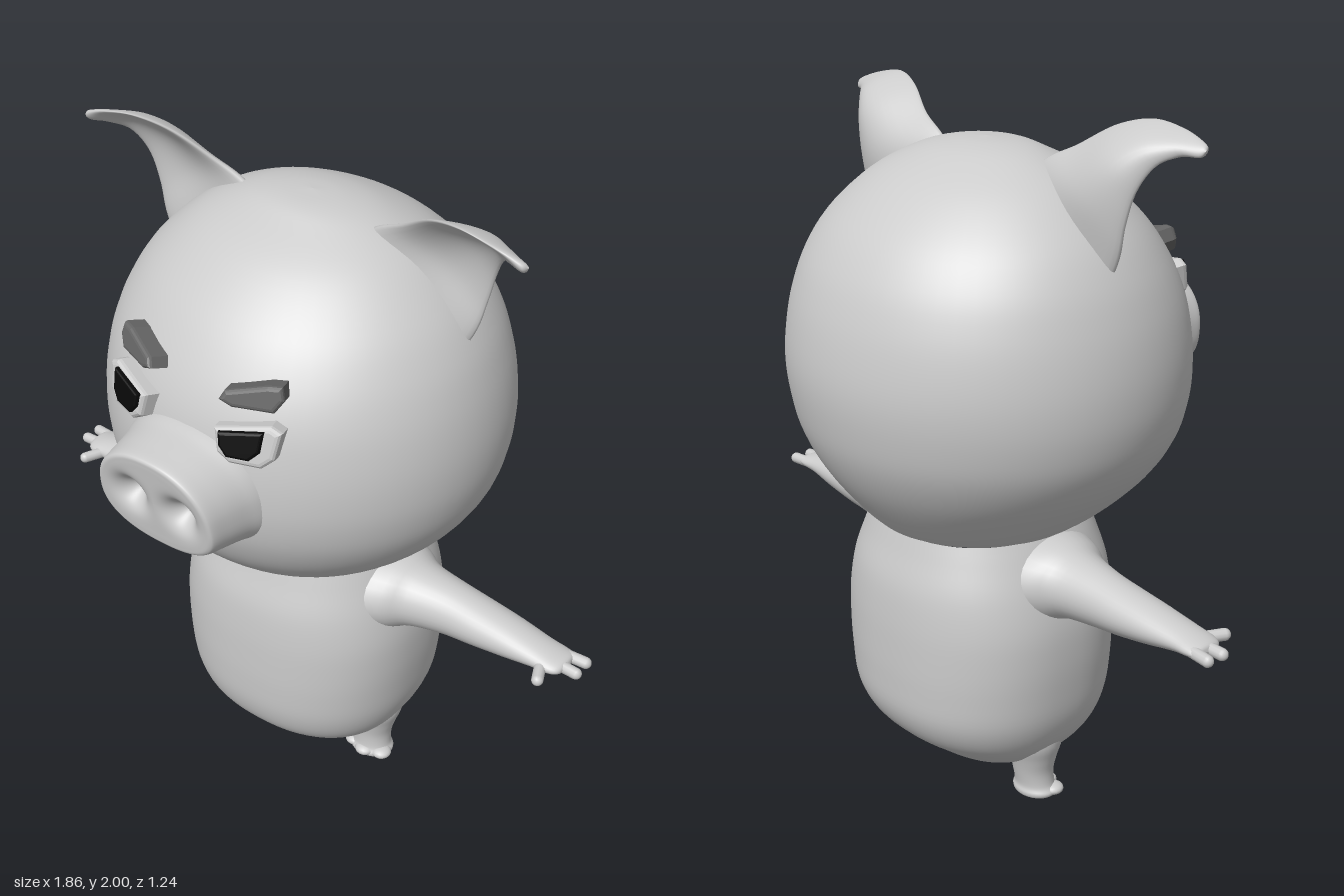
import * as THREE from 'three';

const paint = (color) => new THREE.MeshStandardMaterial({ color });
const skin = paint(0xcccccc), browMat = paint(0x666666), white = paint(0xf0f0f0), black = paint(0x080808);

// Smooth closed-ring surface; point(values, angle) places each vertex of a ring
function loft(table, rows, cols, point) {
  const n = table.length, size = table[0].length;
  const spline = new THREE.CubicInterpolant(table.map((_, i) => i), table.flat(), size, new Float32Array(size));
  const pos = [], idx = [];
  for (let i = 0; i <= rows; i++) {
    const v = spline.evaluate(Math.min(i / rows * (n - 1), n - 1));
    for (let j = 0; j < cols; j++) {
      pos.push(...point(v, j / cols * Math.PI * 2));
      if (i === rows) continue;
      const a = i * cols + j, b = i * cols + (j + 1) % cols;
      idx.push(a, a + cols, b, b, a + cols, b + cols);
    }
  }
  const g = new THREE.BufferGeometry();
  g.setAttribute('position', new THREE.Float32BufferAttribute(pos, 3));
  g.setIndex(idx);
  g.computeVertexNormals();
  return g;
}

// Rounded superellipse coordinate
const sup = (t, e) => Math.sign(t) * Math.pow(Math.abs(t), 2 / e);

// Upright section: y, half width, front z, back z
const upright = (e) => ([y, w, f, b], a) =>
  [w * sup(Math.cos(a), e), y, (f + b) / 2 + (f - b) / 2 * sup(Math.sin(a), e)];

function mirrored(geo) {
  const g = geo.clone();
  if (!g.index) g.setIndex([...Array(g.attributes.position.count).keys()]);
  g.scale(-1, 1, 1);
  const ix = g.index.array;
  for (let i = 0; i < ix.length; i += 3) [ix[i], ix[i + 1]] = [ix[i + 1], ix[i]];
  return g;
}

// Rounded finger or toe between two points
function digit(from, to, r) {
  const a = new THREE.Vector3(...from), d = new THREE.Vector3(...to).sub(a);
  const g = new THREE.CapsuleGeometry(r, d.length(), 6, 12);
  g.applyQuaternion(new THREE.Quaternion().setFromUnitVectors(new THREE.Vector3(0, 1, 0), d.clone().normalize()));
  return g.translate(a.x + d.x / 2, a.y + d.y / 2, a.z + d.z / 2);
}

// Bevelled plate facing forward, turned to follow the face
function plate(points, depth, bevel, at, turn, tilt) {
  const shape = new THREE.Shape(points.map(([x, y]) => new THREE.Vector2(x, y)));
  const g = new THREE.ExtrudeGeometry(shape, {
    depth, bevelThickness: bevel, bevelSize: bevel, bevelOffset: -bevel, bevelSegments: 3,
  });
  return g.rotateX(tilt).rotateY(turn).translate(...at);
}

export function createModel() {
  const model = new THREE.Group();
  const add = (name, geo, mat = skin) => {
    const m = new THREE.Mesh(geo, mat);
    m.name = name;
    model.add(m);
  };
  const pair = (name, geo, mat) => {
    add('left' + name, geo, mat);
    add('right' + name, mirrored(geo), mat);
  };

  // Head and body
  add('head', loft([
    [0.84, 0.28, 0.19, -0.38], [0.84, 0.30, 0.2, -0.4], [0.9, 0.38, 0.30, -0.46], [1, 0.48, 0.4, -0.535],
    [1.1, 0.545, 0.455, -0.585], [1.2, 0.575, 0.48, -0.61], [1.3, 0.583, 0.485, -0.62],
    [1.4, 0.575, 0.475, -0.612], [1.5, 0.553, 0.45, -0.59], [1.6, 0.515, 0.4, -0.55],
    [1.7, 0.45, 0.325, -0.48], [1.8, 0.34, 0.21, -0.365], [1.865, 0.215, 0.085, -0.24],
    [1.892, 0.11, 0.02, -0.15], [1.9, 0.001, -0.069, -0.071],
  ], 64, 64, upright(2)));
  add('body', loft([
    [0.085, 0.001, -0.099, -0.101], [0.09, 0.14, 0.0, -0.19], [0.11, 0.23, 0.07, -0.26], [0.16, 0.295, 0.15, -0.33],
    [0.22, 0.34, 0.21, -0.4], [0.3, 0.37, 0.24, -0.44], [0.4, 0.383, 0.25, -0.45],
    [0.5, 0.388, 0.252, -0.452], [0.6, 0.383, 0.25, -0.45], [0.7, 0.36, 0.24, -0.44],
    [0.79, 0.325, 0.215, -0.415], [0.845, 0.30, 0.2, -0.4],
  ], 48, 64, upright(2.3)));

  // Ears: upper edge xyz, outer edge xyz, half thickness, cup depth
  pair('Ear', loft([
    [0.12, 1.78, -0.06, 0.43, 1.5, -0.07, 0.04, 0.0],
    [0.21, 1.865, -0.05, 0.512, 1.65, -0.075, 0.035, 0.025],
    [0.31, 1.915, -0.03, 0.54, 1.75, -0.08, 0.028, 0.04],
    [0.41, 1.975, 0.01, 0.565, 1.84, -0.07, 0.025, 0.045],
    [0.51, 2.0, 0.04, 0.6, 1.905, -0.04, 0.022, 0.035],
    [0.61, 1.988, 0.045, 0.645, 1.93, 0.0, 0.02, 0.015],
    [0.685, 1.965, 0.035, 0.69, 1.932, 0.02, 0.015, 0.0],
    [0.703, 1.95, 0.025, 0.703, 1.948, 0.024, 0.001, 0.0],
  ], 36, 32, ([px, py, pz, qx, qy, qz, th, cup], a) => {
    const u = (1 - Math.cos(a)) / 2;
    return [px + (qx - px) * u, py + (qy - py) * u,
      pz + (qz - pz) * u - th * Math.sin(a) - cup * Math.sin(Math.PI * u)];
  }));

  // Snout: z and scale per ring, with two nostril pits in the tilted face
  add('snout', loft([
    [0.36, 1.3], [0.43, 1.22], [0.48, 1.13], [0.54, 1.06], [0.585, 1.01], [0.598, 0.96],
    [0.6, 0.86], [0.6, 0.7], [0.6, 0.54], [0.6, 0.36], [0.6, 0.18], [0.6, 0.001],
  ], 66, 80, ([z, s], a) => {
    const c = Math.cos(a), y = s * 0.145 * sup(c, 2.3);
    const x = s * 0.19 * sup(Math.sin(a), 2.3) * (1 - 0.13 * c);
    const d2 = (Math.abs(x) - 0.083) ** 2 + (y + 0.005) ** 2;
    const pit = z > 0.59 ? 0.06 * Math.exp(-d2 / 0.0018) : 0;
    return [x, 1.277 + y, z + y * 0.15 - pit];
  }));

  // Eyes and brows
  pair('EyeWhite', plate([
    [-0.09, 0.03], [-0.08, -0.035], [-0.045, -0.06], [0.04, -0.06], [0.075, -0.03], [0.09, 0.045], [0.06, 0.06],
  ], 0.05, 0.015, [0.182, 1.46, 0.405], 0.33, -0.2), white);
  pair('Pupil', plate([
    [-0.06, 0.028], [-0.057, -0.008], [-0.035, -0.036], [0.025, -0.036], [0.052, -0.01], [0.06, 0.048],
  ], 0.04, 0.008, [0.178, 1.464, 0.438], 0.33, -0.2), black);
  pair('Brow', plate([
    [-0.085, -0.02], [-0.05, -0.036], [0.06, -0.036], [0.085, 0.0], [0.078, 0.036], [0.04, 0.034], [-0.07, 0.006],
  ], 0.06, 0.012, [0.165, 1.575, 0.365], 0.38, -0.25), browMat);

  // Arms: x, centre y, half height, centre z, half depth
  pair('Arm', loft([
    [0.24, 0.71, 0.14, -0.08, 0.19], [0.34, 0.718, 0.118, -0.08, 0.145], [0.4, 0.722, 0.095, -0.08, 0.105],
    [0.5, 0.722, 0.08, -0.085, 0.083], [0.6, 0.72, 0.067, -0.085, 0.077], [0.7, 0.72, 0.052, -0.083, 0.07],
    [0.8, 0.72, 0.033, -0.08, 0.06], [0.85, 0.718, 0.024, -0.08, 0.058],
    [0.878, 0.717, 0.016, -0.085, 0.045], [0.885, 0.717, 0.001, -0.085, 0.001],
  ], 36, 32, ([x, y, h, z, d], a) => [x, y + h * Math.sin(a), z + d * Math.cos(a)]));
  for (const [name, from, to] of [
    ['OuterFinger', [0.84, 0.717, -0.115], [0.915, 0.715, -0.122]],
    ['InnerFinger', [0.84, 0.717, -0.07], [0.915, 0.715, -0.068]],
    ['Thumb', [0.82, 0.715, -0.04], [0.845, 0.715, 0.018]],
  ]) pair(name, digit(from, to, 0.017));

  // Legs: y, centre x, half width, centre z, half depth
  pair('Leg', loft([
    [0, 0.235, 0.001, -0.09, 0.001], [0, 0.235, 0.06, -0.09, 0.05], [0.014, 0.236, 0.073, -0.09, 0.06],
    [0.035, 0.234, 0.064, -0.092, 0.054], [0.08, 0.232, 0.064, -0.096, 0.058],
    [0.13, 0.235, 0.073, -0.098, 0.068], [0.19, 0.235, 0.09, -0.1, 0.085], [0.28, 0.22, 0.1, -0.1, 0.1],
  ], 32, 32, ([y, x, w, z, d], a) => [x + w * Math.cos(a), Math.max(0, y), z + d * Math.sin(a)]));
  for (const [name, x, z] of [['InnerToe', 0.188, -0.068], ['MiddleToe', 0.238, -0.05], ['OuterToe', 0.288, -0.068]])
    pair(name, new THREE.SphereGeometry(0.032, 16, 12).scale(1, 0.55, 1).translate(x, 0.018, z));

  return model;
}
